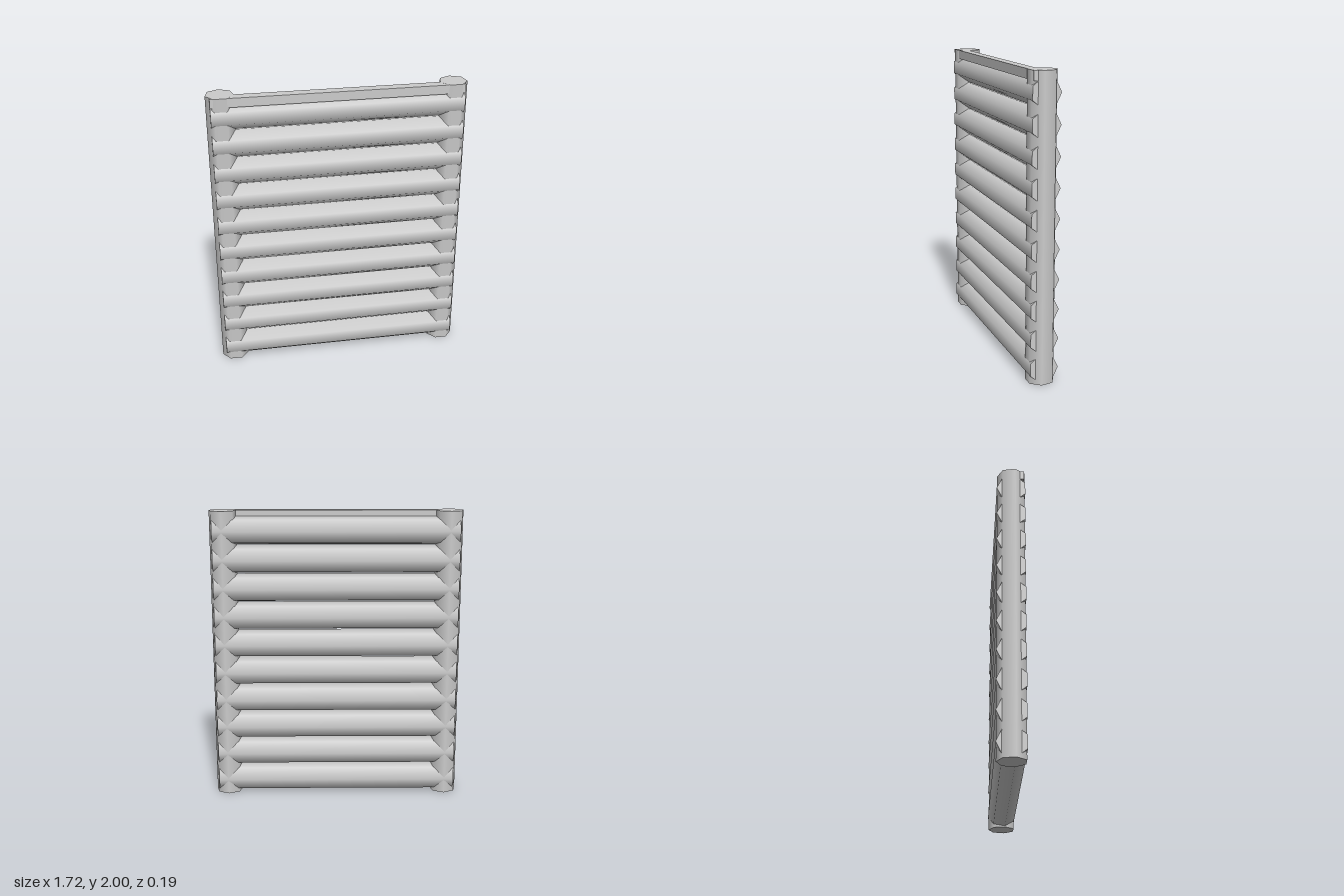
import * as THREE from 'three';

export function createModel() {
  const group = new THREE.Group();
  const material = new THREE.MeshStandardMaterial({ color: 0xcccccc });
  const centreZ = 0.004;

  const add = (name, geometry, x, y, z) => {
    const mesh = new THREE.Mesh(geometry, material);
    mesh.name = name;
    mesh.position.set(x, y, z);
    group.add(mesh);
  };

  // Seven-sided pole with one ridge facing the back
  const pole = (radius, length) =>
    new THREE.CylinderGeometry(radius, radius, length, 7).rotateY(Math.PI);

  // Upright posts
  const post = pole(0.0945, 2);
  add('leftPost', post, 0.767, 1, centreZ);
  add('rightPost', post, -0.767, 1, centreZ);

  // Stacked horizontal logs, passing just through the posts
  const log = pole(0.0985, 1.666).rotateZ(Math.PI / 2);
  for (let i = 0; i < 10; i++) {
    add(`log${i + 1}`, log, 0, 0.103 + i * 0.1957, centreZ);
  }

  // Flat rail along the top of the front
  add('topRail', new THREE.BoxGeometry(1.666, 0.062, 0.068), 0, 1.9685, 0.051);

  return group;
}
